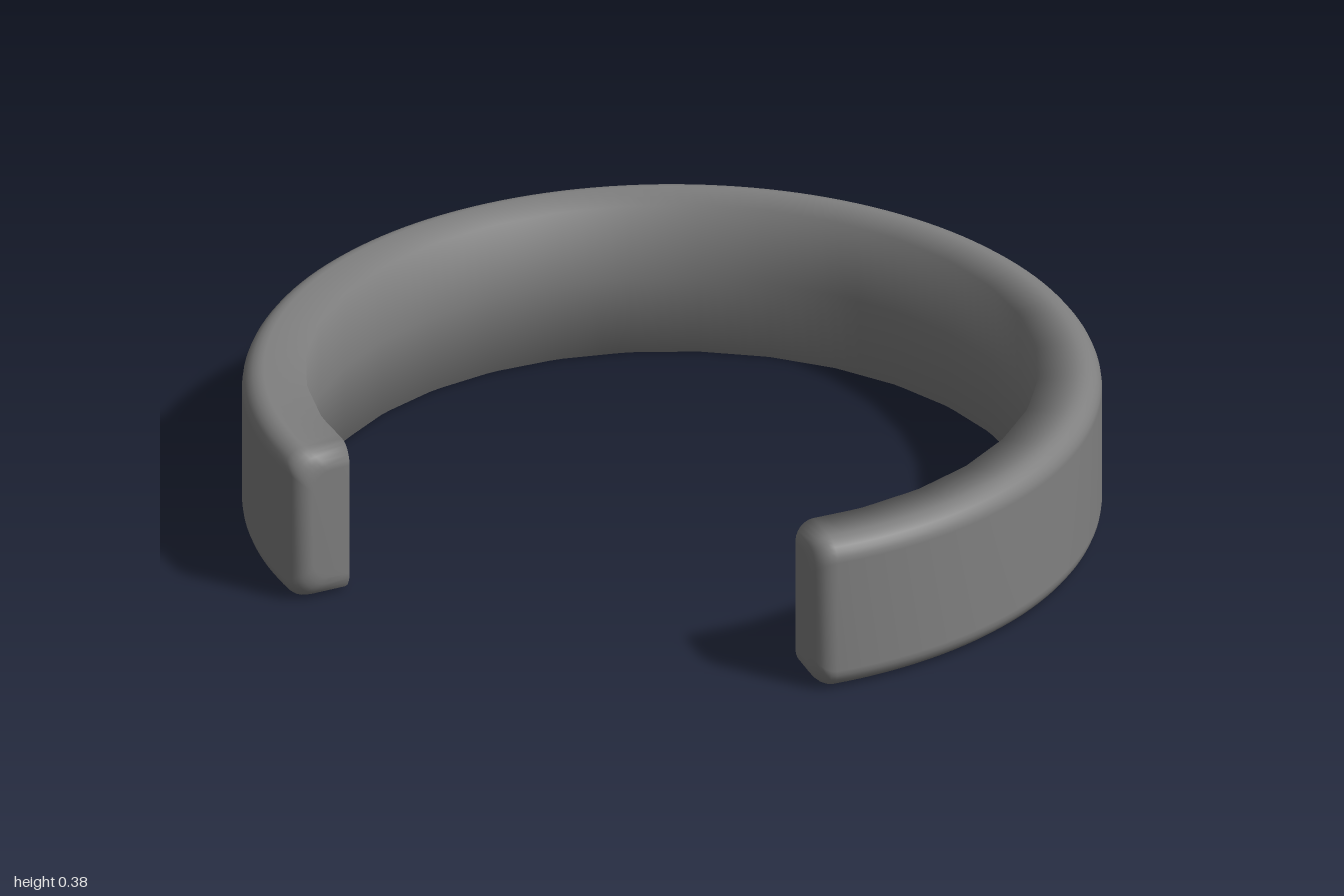
import * as THREE from 'three';

const INNER = 0.85, OUTER = 1, HEIGHT = 0.38, FILLET = 0.05;
const CENTRE_Z = 0.13;
const GAP = THREE.MathUtils.degToRad(40.5); // half angle of the opening at the front
const ARC_STEPS = 6, BODY_STEPS = 125;
const FACET = 2 * (Math.PI - GAP) / 25; // angle of one flat on the inner side

// Cross-section as [radius, y]: square inner corners, rounded outer corners, shrunk by inset
function section(inset) {
  const low = inset, high = HEIGHT - inset, out = OUTER - inset;
  const points = [[INNER, low]];
  for (let i = 0; i <= ARC_STEPS; i++) {
    const a = (i / ARC_STEPS) * Math.PI / 2;
    points.push([out - FILLET + FILLET * Math.sin(a), low + FILLET - FILLET * Math.cos(a)]);
  }
  for (let i = 0; i <= ARC_STEPS; i++) {
    const a = (i / ARC_STEPS) * Math.PI / 2;
    points.push([out - FILLET + FILLET * Math.cos(a), high - FILLET + FILLET * Math.sin(a)]);
  }
  points.push([INNER, high], [INNER, HEIGHT / 2]);
  return points;
}

// Stations along the band; the sections shrink along a quarter circle at both ends
function stations() {
  const list = [];
  const tip = FILLET / 0.95;
  for (let i = 0; i < ARC_STEPS; i++) {
    const a = (i / ARC_STEPS) * Math.PI / 2;
    list.push({ angle: GAP + tip * (1 - Math.cos(a)), inset: FILLET * (1 - Math.sin(a)) });
  }
  const mirrored = list.map(s => ({ angle: 2 * Math.PI - s.angle, inset: s.inset })).reverse();
  const start = GAP + tip, sweep = 2 * (Math.PI - start);
  for (let i = 0; i <= BODY_STEPS; i++) {
    list.push({ angle: start + sweep * i / BODY_STEPS, inset: 0 });
  }
  return list.concat(mirrored);
}

// Radius of the many-sided inner outline at an angle; one flat is centred at the back
function innerRadius(angle) {
  const fromBack = angle - Math.PI;
  const local = fromBack - FACET * Math.round(fromBack / FACET);
  return (INNER + 0.004) * Math.cos(FACET / 2) / Math.cos(local);
}

function bandGeometry() {
  const positions = [], indices = [];
  const rings = stations();
  const n = section(0).length;
  for (const { angle, inset } of rings) {
    for (const [r, y] of section(inset)) {
      positions.push(r * Math.sin(angle), y, CENTRE_Z + r * Math.cos(angle));
    }
  }
  // Skin between neighbouring sections
  for (let i = 0; i < rings.length - 1; i++) {
    for (let j = 0; j < n; j++) {
      const a = i * n + j, b = i * n + (j + 1) % n;
      indices.push(a, a + n, b, b, a + n, b + n);
    }
  }
  // Flat end caps
  const last = (rings.length - 1) * n;
  for (let j = 1; j < n - 1; j++) {
    indices.push(0, j, j + 1, last, last + j + 1, last + j);
  }
  const geometry = new THREE.BufferGeometry();
  geometry.setAttribute('position', new THREE.Float32BufferAttribute(positions, 3));
  geometry.setIndex(indices);
  geometry.computeVertexNormals();

  // Flatten the inner side into facets while keeping the smooth normals
  const position = geometry.attributes.position;
  rings.forEach(({ angle }, i) => {
    const r = innerRadius(angle);
    for (const j of [0, n - 2, n - 1]) {
      position.setX(i * n + j, r * Math.sin(angle));
      position.setZ(i * n + j, CENTRE_Z + r * Math.cos(angle));
    }
  });
  return geometry;
}

export function createModel() {
  const group = new THREE.Group();
  group.name = 'openCuff';
  const band = new THREE.Mesh(bandGeometry(), new THREE.MeshStandardMaterial({ color: 0x808080 }));
  band.name = 'band';
  group.add(band);
  return group;
}
